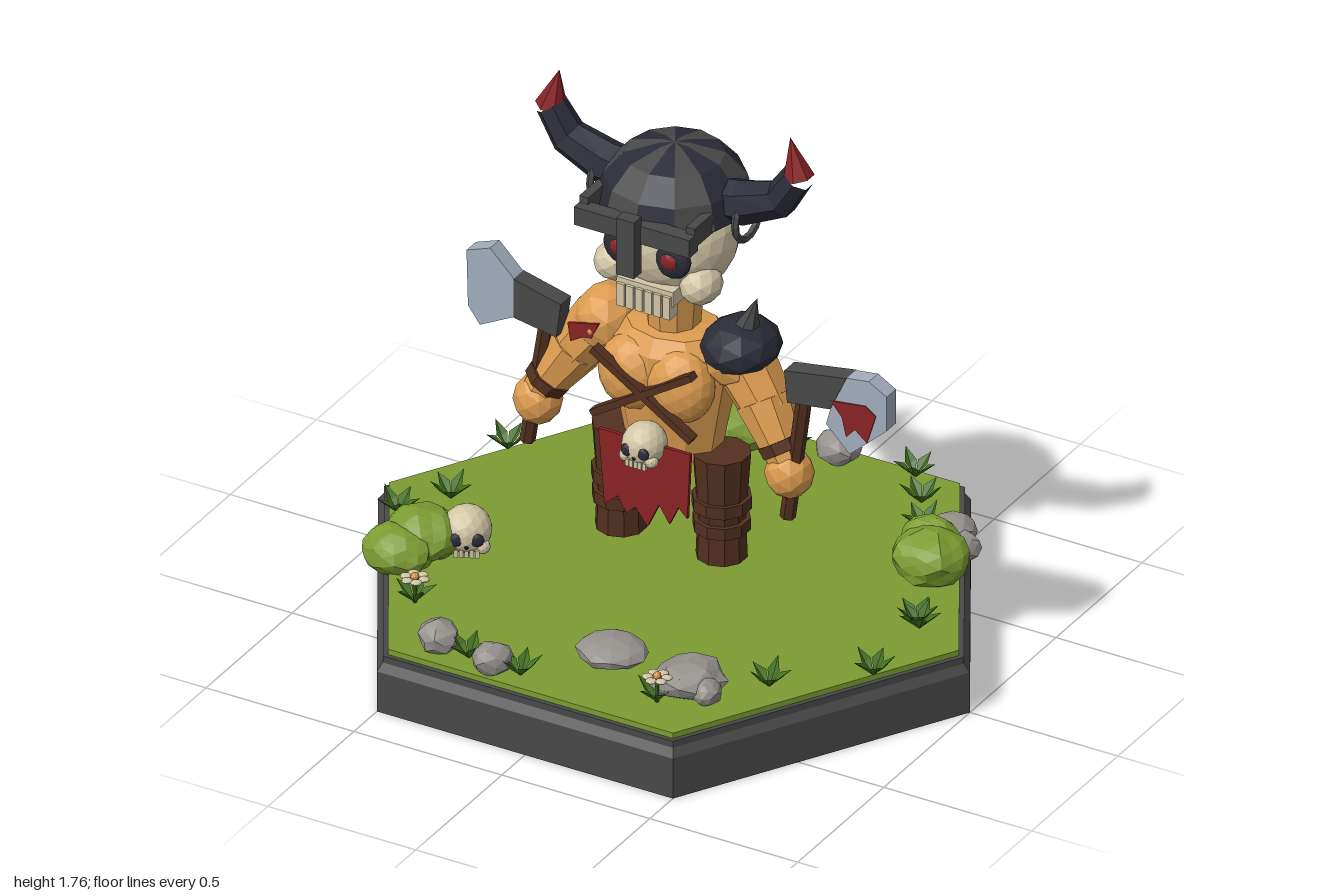
import * as THREE from 'three';

const mat = (name, color, side = THREE.FrontSide) => {
  const m = new THREE.MeshStandardMaterial({ color, side });
  m.name = name;
  return m;
};
const M = {
  grass: mat('grass green', 0x7d9c32), leaf: mat('leaf green', 0x40701f, THREE.DoubleSide),
  iron: mat('iron grey', 0x494949), navy: mat('dark horn', 0x2a2c38),
  skin: mat('skin', 0xdc9c50), bone: mat('bone', 0xd2c6a6), brown: mat('leather', 0x52301f),
  red: mat('blood red', 0x8a2224), steel: mat('steel', 0xa2acbc), rock: mat('rock', 0x95918d),
};
const V = (x, y, z) => new THREE.Vector3(x, y, z);
const P = (pts) => pts.map(([x, y]) => new THREE.Vector2(x, y));

// faceted mesh placed on a parent
function add(parent, name, geo, material, pos = [0, 0, 0], scale = [1, 1, 1], rot = [0, 0, 0]) {
  const g = geo.index ? geo.toNonIndexed() : geo;
  g.computeVertexNormals();
  const m = new THREE.Mesh(g, material);
  m.name = name;
  m.position.set(...pos);
  m.scale.set(...scale);
  m.rotation.set(...rot);
  parent.add(m);
  return m;
}
function group(parent, name, pos = [0, 0, 0], yaw = 0) {
  const g = new THREE.Group();
  g.name = name;
  g.position.set(...pos);
  g.rotation.y = yaw;
  parent.add(g);
  return g;
}
const box = (x, y, z) => new THREE.BoxGeometry(x, y, z);
const cyl = (rt, rb, h, n = 8) => new THREE.CylinderGeometry(rt, rb, h, n);
const ball = (r, d = 2) => new THREE.IcosahedronGeometry(r, d);

// tapered cylinder between two points
function limb(parent, name, a, b, ra, rb, material, sides = 8) {
  const d = V(...b).sub(V(...a));
  const m = add(parent, name, cyl(rb, ra, d.length(), sides), material);
  m.position.copy(V(...a)).addScaledVector(d, 0.5);
  m.quaternion.setFromUnitVectors(V(0, 1, 0), d.normalize());
  return m;
}
// plate cut from an outline, centred on z
function plate(parent, name, pts, depth, material, z) {
  const g = new THREE.ExtrudeGeometry(new THREE.Shape(P(pts)), { depth, bevelEnabled: false });
  return add(parent, name, g.translate(0, 0, -depth / 2), material, [0, 0, z]);
}
// rings [x, y, radius] swept along a bent path
function loft(rings, sides = 7) {
  const pos = [], idx = [];
  rings.forEach(([x, y, r], i) => {
    const p = rings[Math.max(i - 1, 0)], q = rings[Math.min(i + 1, rings.length - 1)];
    const t = new THREE.Vector2(q[0] - p[0], q[1] - p[1]).normalize();
    for (let k = 0; k < sides; k++) {
      const a = (k / sides) * Math.PI * 2, c = Math.cos(a) * r;
      pos.push(x - t.y * c, y + t.x * c, Math.sin(a) * r);
      if (i === rings.length - 1) continue;
      const A = i * sides + k, B = i * sides + (k + 1) % sides;
      idx.push(A, B, B + sides, A, B + sides, A + sides);
    }
  });
  const g = new THREE.BufferGeometry();
  g.setAttribute('position', new THREE.Float32BufferAttribute(pos, 3));
  g.setIndex(idx);
  return g;
}
// uneven stone or foliage lump
function lump(seed, detail, amount) {
  const g = new THREE.IcosahedronGeometry(1, detail), p = g.attributes.position, v = V(0, 0, 0);
  for (let i = 0; i < p.count; i++) {
    v.fromBufferAttribute(p, i);
    v.multiplyScalar(1 + amount * Math.sin(v.x * 5 + seed) * Math.cos(v.y * 4 + v.z * 6 + seed * 2));
    p.setXYZ(i, v.x, v.y, v.z);
  }
  return g;
}
function smallSkull(parent, name, pos, r, yaw) {
  const s = group(parent, name, pos, yaw);
  add(s, 'cranium', ball(r), M.bone);
  for (const k of [-1, 1]) {
    add(s, 'eyeSocket', ball(r * 0.3, 1), M.navy, [k * r * 0.4, -r * 0.05, r * 0.84], [1, 1, 0.5]);
    add(s, 'cheek', ball(r * 0.32, 1), M.bone, [k * r * 0.62, -r * 0.5, r * 0.5]);
  }
  add(s, 'noseHole', ball(r * 0.1, 0), M.navy, [0, -r * 0.33, r * 0.93]);
  for (let i = -2; i <= 2; i++) add(s, 'tooth', box(r * 0.17, r * 0.34, r * 0.2), M.bone, [i * r * 0.21, -r * 0.7, r * 0.72]);
}

function ground(root) {
  const g = group(root, 'base');
  const hex = (name, rt, rb, y0, y1, m) => add(g, name,
    new THREE.CylinderGeometry(rt, rb, y1 - y0, 6, 1, false, Math.PI / 6), m, [0, (y0 + y1) / 2, 0]);
  hex('plinth', 1, 1, 0, 0.135, M.iron);
  hex('plinthBevel', 0.98, 1, 0.135, 0.16, M.iron);
  hex('plinthRim', 0.98, 0.98, 0.16, 0.182, M.iron);
  hex('turf', 0.963, 0.963, 0.18, 0.2, M.grass);
  // bushes: x, y, z and radii
  [[-0.22, 0.26, -0.72, 0.13, 0.085, 0.115], [0.67, 0.26, -0.34, 0.12, 0.085, 0.11], [0.63, 0.27, -0.41, 0.09, 0.075, 0.07],
    [-0.67, 0.27, 0.3, 0.115, 0.08, 0.1], [-0.71, 0.245, 0.39, 0.11, 0.075, 0.09]]
    .forEach(([x, y, z, ...s], i) => add(g, 'bush', lump(i * 1.7, 2, 0.09), M.grass, [x, y, z], s));
  // rocks: x, z, radius, height
  [[0.1, -0.78, 0.068, 0.09], [0.63, -0.53, 0.078, 0.09], [0.7, -0.48, 0.055, 0.07], [0.11, 0.545, 0.112, 0.065],
    [0.39, 0.59, 0.115, 0.09], [0.47, 0.62, 0.05, 0.07], [-0.36, 0.75, 0.066, 0.09], [-0.16, 0.78, 0.062, 0.085]]
    .forEach(([x, z, r, h], i) => add(g, 'rock', lump(i * 2.3, 1, 0.1), M.rock, [x, 0.2 + h * 0.42, z], [r, h * 0.6, r * 0.9], [0, i, 0]));
  // leaf tufts, the last two carrying flowers
  [[-0.04, -0.76], [0.35, -0.8], [0.44, -0.68], [0.52, -0.55], [-0.76, -0.34], [-0.76, -0.01], [-0.85, 0.14], [0.78, -0.07],
    [0.8, -0.05], [0.82, 0.25], [0.59, 0.46], [-0.25, 0.76], [-0.07, 0.77], [-0.55, 0.56], [0.35, 0.7]].forEach(([x, z], i) => {
    const t = group(g, 'tuft', [x, 0.2, z], i * 1.3), pos = [];
    for (let k = 0; k < 5; k++) {
      const at = (o, y, w) => V(o, y, w).applyAxisAngle(V(0, 1, 0), k * Math.PI * 0.4).toArray();
      const a = at(0, 0, 0), b = at(0.03, 0.04, 0.019), c = at(0.066, 0.06 + (k % 2) * 0.012, 0), d = at(0.03, 0.04, -0.019), e = at(0.034, 0.03, 0);
      pos.push(...a, ...b, ...e, ...b, ...c, ...e, ...a, ...e, ...d, ...e, ...c, ...d);
    }
    const geo = new THREE.BufferGeometry();
    geo.setAttribute('position', new THREE.Float32BufferAttribute(pos, 3));
    add(t, 'leaves', geo, M.leaf);
    if (i < 13) return;
    limb(t, 'stem', [0, 0, 0], [0, 0.08, 0], 0.006, 0.006, M.leaf, 5);
    for (let k = 0; k < 6; k++) add(t, 'petal', ball(0.017, 1), M.bone, [Math.cos(k * 1.047) * 0.029, 0.083, Math.sin(k * 1.047) * 0.029], [1, 0.4, 1]);
    add(t, 'flowerCentre', ball(0.013, 1), M.skin, [0, 0.088, 0]);
  });
  smallSkull(g, 'groundSkull', [-0.56, 0.285, 0.24], 0.075, 0.5);
}

function body(root) {
  const b = group(root, 'body');
  const torso = P([[0, 0.62], [0.15, 0.62], [0.165, 0.7], [0.205, 0.9], [0.2, 0.98], [0.15, 1.03], [0, 1.05]]);
  add(b, 'torso', new THREE.LatheGeometry(torso, 10), M.skin, [0, 0, 0], [1, 1, 0.75]);
  add(b, 'neck', cyl(0.092, 0.075, 0.2, 10), M.skin, [0, 1.07, 0]);
  for (const s of [-1, 1]) {
    add(b, 'chestMuscle', ball(0.11, 2), M.skin, [s * 0.08, 0.89, 0.1], [1, 1.1, 0.75]);
    add(b, 'chestStrap', box(0.4, 0.022, 0.035), M.brown, [0, 0.875, 0.178], [1, 1, 1], [0, 0, s * 0.57]);
    // leg with boot cuffs
    const leg = group(b, 'leg', [s * 0.17, 0, 0.015]);
    for (const [name, y0, y1, r0, r1] of [['thigh', 0.4, 0.65, 0.07, 0.088], ['boot', 0.3, 0.4, 0.078, 0.074],
      ['bootStrap', 0.393, 0.432, 0.087, 0.087], ['kneeStrap', 0.465, 0.505, 0.09, 0.09]])
      limb(leg, name, [0, y0, 0], [0, y1, 0], r0, r1, M.brown, 10);
    // arm with bracer and fist
    const arm = group(b, 'arm');
    add(arm, 'shoulder', ball(0.105, 1), M.skin, [s * 0.22, 0.985, 0], [0.95, 1, 1.1]);
    limb(arm, 'upperArm', [s * 0.23, 0.98, 0], [s * 0.335, 0.84, 0.02], 0.098, 0.082, M.skin);
    limb(arm, 'forearm', [s * 0.315, 0.87, 0.02], [s * 0.425, 0.7, 0.06], 0.088, 0.055, M.skin);
    limb(arm, 'bracer', [s * 0.385, 0.765, 0.047], [s * 0.405, 0.735, 0.053], 0.074, 0.07, M.brown);
    add(arm, 'fist', ball(0.075, 1), M.skin, [s * 0.425, 0.675, 0.06], [1, 1.08, 0.98]);
  }
  plate(b, 'bloodMark', [[-0.295, 0.995], [-0.19, 1.02], [-0.215, 0.965], [-0.245, 0.96], [-0.285, 0.935]], 0.009, M.red, 0.108);
  plate(b, 'loincloth', [[-0.155, 0.71], [0.155, 0.71], [0.145, 0.49], [0.115, 0.52], [0.085, 0.455], [0.05, 0.51], [0.01, 0.425],
    [-0.03, 0.48], [-0.06, 0.45], [-0.09, 0.5], [-0.135, 0.46]], 0.012, M.red, 0.167);
  smallSkull(b, 'beltSkull', [0, 0.705, 0.17], 0.068, 0);
  // spiked shoulder guard
  add(b, 'shoulderGuard', ball(0.125, 1), M.navy, [0.228, 1.02, 0], [0.95, 0.68, 1.05]);
  add(b, 'shoulderSpike', new THREE.ConeGeometry(0.048, 0.13, 7), M.iron, [0.262, 1.128, 0], [1, 1, 1], [0, 0, -0.3]);
}

function axes(root) {
  const r = group(root, 'rightAxe'), l = group(root, 'leftAxe'), z = 0.07;
  limb(r, 'handle', [-0.455, 0.53, z], [-0.375, 1.03, z], 0.024, 0.024, M.brown, 6);
  limb(l, 'handle', [0.425, 0.53, z], [0.492, 1.03, z], 0.024, 0.024, M.brown, 6);
  plate(r, 'axeHead', [[-0.485, 1.08], [-0.325, 1.04], [-0.34, 0.925], [-0.485, 0.95]], 0.06, M.iron, z);
  plate(r, 'axeBlade', [[-0.485, 1.08], [-0.565, 1.16], [-0.645, 1.13], [-0.64, 0.945], [-0.6, 0.89], [-0.485, 0.95]], 0.054, M.steel, z);
  plate(l, 'axeHead', [[0.43, 1.04], [0.64, 1.075], [0.585, 0.955], [0.44, 0.935]], 0.06, M.iron, z);
  plate(l, 'axeBlade', [[0.64, 1.075], [0.715, 1.085], [0.775, 1.05], [0.775, 0.935], [0.65, 0.82], [0.57, 0.9], [0.585, 0.955]], 0.054, M.steel, z);
  plate(l, 'bladeBlood', [[0.588, 0.985], [0.705, 1], [0.74, 0.975], [0.71, 0.877], [0.67, 0.91], [0.64, 0.877], [0.625, 0.94]], 0.062, M.red, z);
}

function head(root) {
  const h = group(root, 'head');
  add(h, 'skull', ball(0.19, 3), M.bone, [0, 1.345, 0.005], [1.06, 1, 0.92]);
  add(h, 'upperJaw', box(0.19, 0.05, 0.1), M.bone, [0, 1.215, 0.12]);
  for (let i = 0; i < 6; i++) add(h, 'tooth', box(0.025, 0.075, 0.045), M.bone, [(i - 2.5) * 0.031, 1.187, 0.157]);
  for (const s of [-1, 1]) {
    add(h, 'cheekbone', ball(0.062, 1), M.bone, [s * 0.145, 1.245, 0.09], [1, 1, 1.2]);
    add(h, 'eyeSocket', ball(0.062, 2), M.navy, [s * 0.085, 1.345, 0.155], [1, 1.05, 0.45]);
    add(h, 'eye', ball(0.03, 1), M.red, [s * 0.085, 1.345, 0.174], [1, 1, 0.5]);
    // horn pointing to one side
    const horn = group(h, 'horn', [0, 0, -0.005], s > 0 ? 0 : Math.PI);
    add(horn, 'hornBody', loft([[0.15, 1.49, 0.07], [0.23, 1.5, 0.07], [0.36, 1.55, 0.058], [0.417, 1.64, 0.049]]), M.navy);
    add(horn, 'hornTip', loft([[0.417, 1.64, 0.049], [0.39, 1.765, 0]]), M.red);
    add(horn, 'hornRing', new THREE.TorusGeometry(0.072, 0.012, 5, 14), M.iron, [0.245, 1.455, 0], [1, 1, 1], [0, Math.PI / 2, 0]);
    add(h, 'browSide', box(0.03, 0.065, 0.11), M.iron, [s * 0.18, 1.475, 0.16]);
  }
  // helmet dome with alternating panels
  const n = 12, dome = P([[0, 1.45], [0.235, 1.45], [0.212, 1.53], [0.15, 1.6], [0.045, 1.632], [0, 1.635]]);
  const g = new THREE.LatheGeometry(dome, n), per = g.index.count / n;
  for (let i = 0; i < n; i++) g.addGroup(i * per, per, i % 2);
  add(h, 'helmetDome', g, [M.navy, M.iron], [0, 0, -0.005]);
  add(h, 'browBand', box(0.39, 0.06, 0.05), M.iron, [0, 1.455, 0.222]);
  add(h, 'noseGuard', box(0.06, 0.19, 0.045), M.iron, [0, 1.42, 0.262]);
}

export function createModel() {
  const root = new THREE.Group();
  root.name = 'warriorOnBase';
  ground(root);
  body(root);
  axes(root);
  head(root);
  return root;
}
